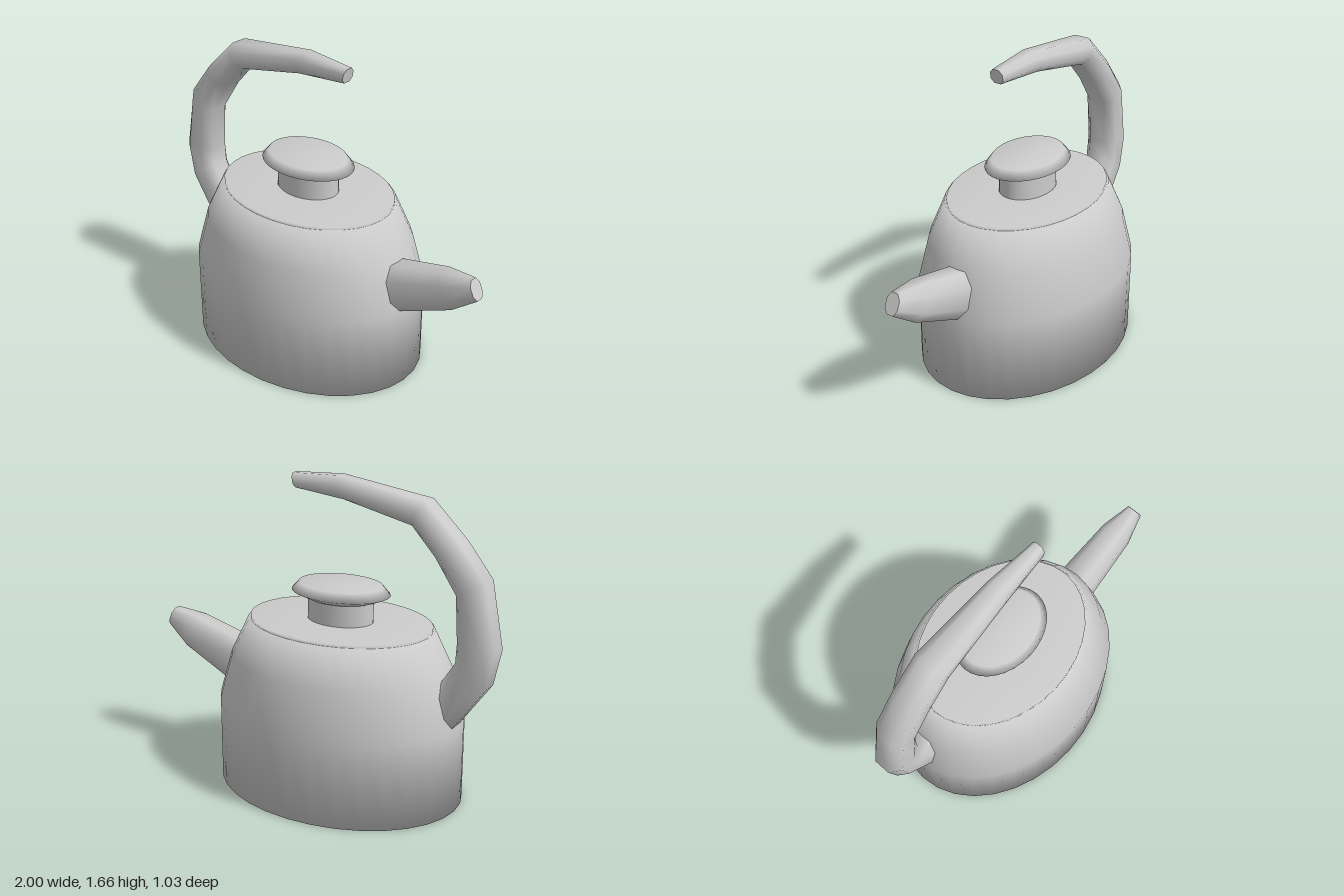
import * as THREE from 'three';

const material = new THREE.MeshStandardMaterial({ color: 0xcccccc });
const CENTRE_X = -0.12;

// Oval lathe part: profile of [radius along x, y], squashed along z
function oval(name, profile, squash, segments = 32) {
  const points = profile.map(([r, y]) => new THREE.Vector2(r, y));
  const mesh = new THREE.Mesh(new THREE.LatheGeometry(points, segments), material);
  mesh.name = name;
  mesh.position.x = CENTRE_X;
  mesh.scale.z = squash;
  return mesh;
}

// Chamfered octagonal tube through stations [outerX, outerY, innerX, innerY, halfWidth]
function octagonTube(name, stations) {
  const section = [[1, 0.5], [0.45, 1], [-0.45, 1], [-1, 0.5], [-1, -0.5], [-0.45, -1], [0.45, -1], [1, -0.5]];
  const n = section.length;
  const positions = [];
  const index = [];
  const addRing = ([ox, oy, ix, iy, w]) => {
    for (const [a, b] of section) {
      positions.push((ox + ix) / 2 + (a * (ox - ix)) / 2, (oy + iy) / 2 + (a * (oy - iy)) / 2, b * w);
    }
  };
  stations.forEach(addRing);
  for (let j = 0; j < stations.length - 1; j++) {
    for (let k = 0; k < n; k++) {
      const a = j * n + k;
      const b = j * n + ((k + 1) % n);
      index.push(a, b, a + n, b, b + n, a + n);
    }
  }
  // Flat end caps with their own vertices
  const first = stations.length * n;
  addRing(stations[0]);
  addRing(stations[stations.length - 1]);
  for (let k = 1; k < n - 1; k++) {
    index.push(first, first + k + 1, first + k);
    index.push(first + n, first + n + k, first + n + k + 1);
  }
  const geometry = new THREE.BufferGeometry();
  geometry.setAttribute('position', new THREE.Float32BufferAttribute(positions, 3));
  geometry.setIndex(index);
  geometry.computeVertexNormals();
  const mesh = new THREE.Mesh(geometry, material);
  mesh.name = name;
  return mesh;
}

export function createModel() {
  const model = new THREE.Group();
  model.name = 'kettle';

  // Oval body, straight below and tapering to the shoulder
  model.add(oval('body', [
    [0, 0], [0.68, 0], [0.68, 0.46], [0.61, 0.7], [0.51, 0.9], [0, 0.9],
  ], 0.76));

  // Thin lid with its short neck
  model.add(oval('lid', [[0.5, 0.89], [0.5, 0.915], [0.18, 0.916]], 0.75));
  model.add(oval('knobNeck', [[0.18, 0.9], [0.18, 1.035]], 0.73));

  // Wide mushroom knob
  model.add(oval('knob', [
    [0, 1.03], [0.19, 1.03], [0.27, 1.063], [0.23, 1.107], [0, 1.11],
  ], 0.73));

  // Hooked handle, rising from the back of the body and reaching over the lid
  model.add(octagonTube('handle', [
    [-0.68, 0.46, -0.62, 0.7, 0.09],
    [-0.79, 0.47, -0.72, 0.7, 0.09],
    [-0.96, 0.71, -0.795, 0.82, 0.09],
    [-1.0, 0.9, -0.8, 0.92, 0.09],
    [-0.935, 1.24, -0.785, 1.16, 0.09],
    [-0.8, 1.41, -0.67, 1.33, 0.09],
    [-0.61, 1.595, -0.54, 1.47, 0.088],
    [-0.12, 1.665, -0.15, 1.55, 0.06],
    [0.155, 1.65, 0.14, 1.575, 0.037],
  ]));

  // Tapered spout
  model.add(octagonTube('spout', [
    [0.39, 0.67, 0.46, 0.415, 0.1],
    [0.49, 0.7, 0.56, 0.46, 0.097],
    [0.78, 0.78, 0.86, 0.6, 0.078],
    [0.95, 0.8, 0.995, 0.7, 0.038],
  ]));

  return model;
}
